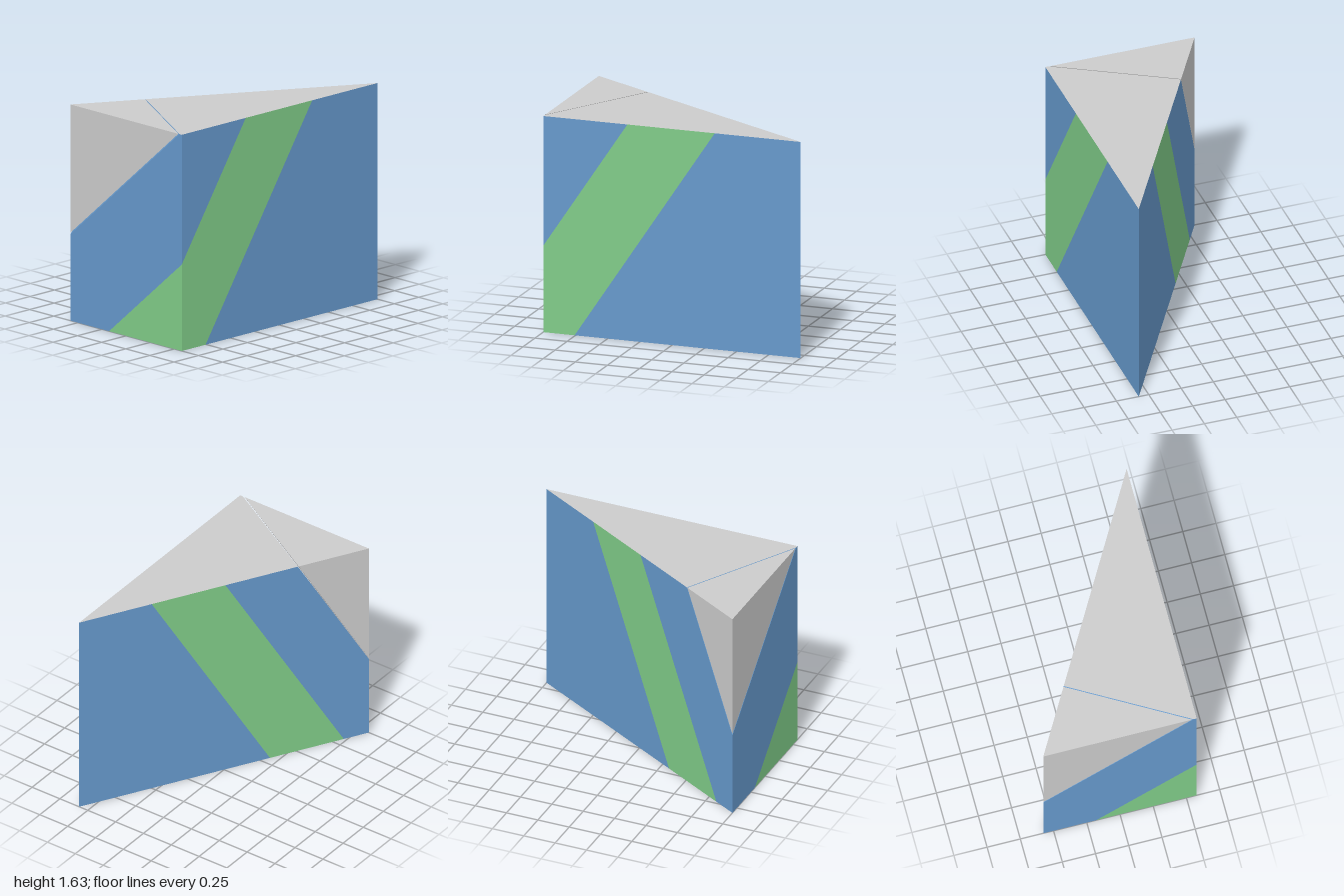
import * as THREE from 'three';

const H = 1.633;               // prism height
const W = 1 / Math.sqrt(3);    // half width
const KX = Math.sqrt(3) / 2;   // slope of the slanted cuts along x
const KZ = 1.5;                // slope of the slanted cuts along z

// Position across the slanted cuts; each cut is a plane of constant level
const level = (p) => p.y - KX * p.x + KZ * p.z;

// Keep the part of a polygon where sign * (level - k) >= 0
function clip(poly, k, sign) {
  const out = [];
  poly.forEach((a, i) => {
    const b = poly[(i + 1) % poly.length];
    const da = sign * (level(a) - k);
    const db = sign * (level(b) - k);
    if (da >= 0) out.push(a);
    if (da * db < 0) out.push(a.clone().lerp(b, da / (da - db)));
  });
  return out;
}

// Flat-faced geometry from convex polygons, as triangle fans
function facesGeometry(polys) {
  const points = [];
  for (const p of polys) {
    for (let i = 1; i < p.length - 1; i++) points.push(p[0], p[i], p[i + 1]);
  }
  const geometry = new THREE.BufferGeometry().setFromPoints(points);
  geometry.computeVertexNormals();
  return geometry;
}

// Triangle where a cut passes through the front left upper corner
function cornerCut(k) {
  const z = (k - H) / 2;
  return [
    new THREE.Vector3(-W, k - KX * W - KZ, 1),
    new THREE.Vector3((H + KZ - k) / KX, H, 1),
    new THREE.Vector3(-z * W, H, z),
  ];
}

export function createModel() {
  const group = new THREE.Group();
  const make = (name, color) => {
    const m = new THREE.MeshStandardMaterial({ color });
    m.name = name;
    return m;
  };
  const blue = make('blue', 0x6699cc);
  const green = make('green', 0x80cc88);
  const grey = make('grey', 0xcccccc);

  // Triangular prism faces
  const ring = (y) => [[-W, 1], [W, 1], [W, -1]].map(([x, z]) => new THREE.Vector3(x, y, z));
  const low = ring(0);
  const high = ring(H);
  const outer = [[...low].reverse()];
  for (let i = 0; i < 3; i++) {
    const j = (i + 1) % 3;
    outer.push([low[i], low[j], high[j], high[i]]);
  }

  // Slanted blocks, from the back to the front corner, with a hairline gap before the wedge
  const lowGap = 2.653;
  const highGap = 2.664;
  const blocks = [
    ['rearBlock', -9, 0.635, blue],
    ['middleBand', 0.635, 1.653, green],
    ['frontBand', 1.653, lowGap, blue],
    ['cornerWedge', highGap, 9, grey],
  ];
  for (const [name, from, to, material] of blocks) {
    const part = new THREE.Group();
    part.name = name;
    const cut = (poly) => clip(clip(poly, from, 1), to, -1);
    const sides = outer.map(cut);
    if (to === lowGap) sides.push(cornerCut(lowGap));
    if (from === highGap) sides.push(cornerCut(highGap).reverse());

    const body = new THREE.Mesh(facesGeometry(sides), material);
    body.name = name + 'Sides';
    const top = new THREE.Mesh(facesGeometry([cut(high)]), grey);
    top.name = name + 'Top';
    part.add(body, top);
    group.add(part);
  }
  return group;
}
